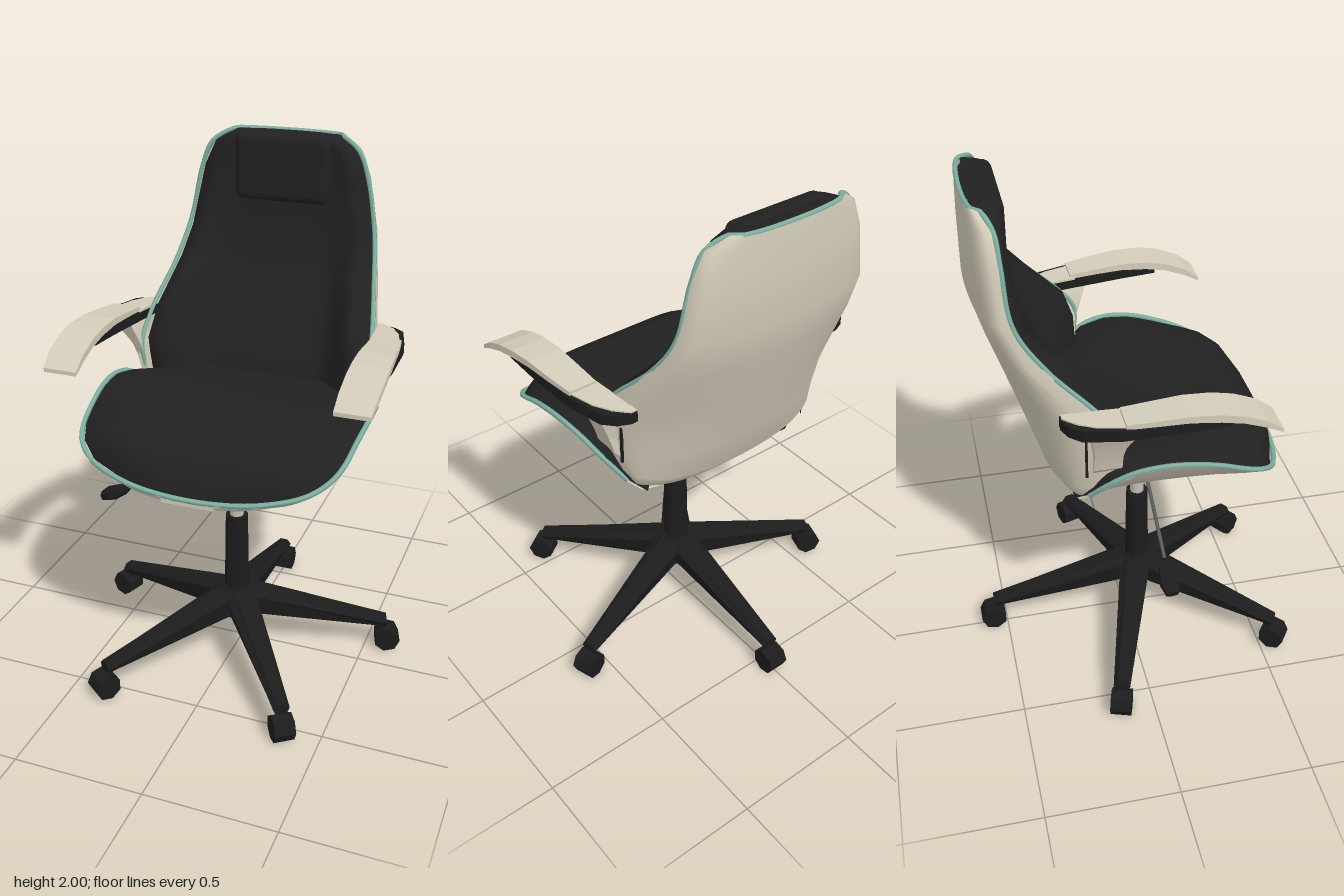
import * as THREE from 'three';
import { RoundedBoxGeometry } from 'three/addons/geometries/RoundedBoxGeometry.js';

const mat = (name, color, flatShading = false) =>
  new THREE.MeshStandardMaterial({ name, color, flatShading, side: THREE.DoubleSide });

// Surface through rows of [x, y, z] points; closed joins the last column to the first.
function loft(rows, closed = false) {
  const n = rows[0].length, index = [];
  for (let i = 0; i < rows.length - 1; i++) {
    for (let j = 0; j < (closed ? n : n - 1); j++) {
      const k = (j + 1) % n, a = i * n + j, b = i * n + k, c = a + n, d = b + n;
      index.push(a, b, d, a, d, c);
    }
  }
  const g = new THREE.BufferGeometry();
  g.setAttribute('position', new THREE.Float32BufferAttribute(rows.flat(2), 3));
  g.setIndex(index);
  g.computeVertexNormals();
  return g;
}

// Closed bar with rectangular sections [z, xInner, xOuter, yBottom, yTop].
function bar(sections) {
  const ring = ([z, xi, xo, yb, yt]) => [[xi, yb, z], [xo, yb, z], [xo, yt, z], [xi, yt, z]];
  const cap = ([z, xi, xo, yb, yt]) => Array(4).fill([(xi + xo) / 2, (yb + yt) / 2, z]);
  return loft([cap(sections[0]), ...sections.map(ring), cap(sections.at(-1))], true);
}

const span = (n, f) => Array.from({ length: n + 1 }, (_, i) => f(-1 + (2 * i) / n));
const smooth = THREE.MathUtils.smoothstep;

function rim(points, radius) {
  const path = new THREE.CatmullRomCurve3(points.map((p) => new THREE.Vector3(...p)));
  return new THREE.TubeGeometry(path, 120, radius, 5);
}

export function createModel() {
  const group = new THREE.Group();
  const cream = mat('cream shell', 0xd3ccb9);
  const creamFlat = mat('cream trim', 0xd3ccb9, true);
  const teal = mat('teal edging', 0x80b5a5);
  const black = mat('black upholstery', 0x212122);
  const plastic = mat('black plastic', 0x1c1c1d, true);
  const steel = mat('steel', 0xc4bfb4);
  const grey = mat('grey rod', 0x5c5c5a);

  const add = (name, geometry, material, parent = group) => {
    const mesh = new THREE.Mesh(geometry, material);
    mesh.name = name;
    parent.add(mesh);
    return mesh;
  };
  const cylinder = (name, rTop, rBottom, y0, y1, material, sides = 12) =>
    add(name, new THREE.CylinderGeometry(rTop, rBottom, y1 - y0, sides), material).position.set(0, (y0 + y1) / 2, 0.06);

  // Seat pan: z, half width, rim height, bottom height, cushion height
  const seat = [
    [0.55, 0.1, 0.922, 0.9, 0.9], [0.53, 0.26, 0.937, 0.898, 1.0], [0.48, 0.41, 0.972, 0.896, 1.06],
    [0.42, 0.48, 1.012, 0.895, 1.085], [0.35, 0.508, 1.045, 0.893, 1.095], [0.25, 0.52, 1.085, 0.891, 1.1],
    [0.15, 0.528, 1.112, 0.889, 1.112], [0.05, 0.528, 1.12, 0.887, 1.118], [-0.05, 0.515, 1.1, 0.885, 1.112],
    [-0.13, 0.485, 1.045, 0.883, 1.105], [-0.2, 0.43, 0.96, 0.881, 1.1], [-0.24, 0.38, 0.915, 0.88, 1.1],
  ];
  add('seatShell', loft(seat.map(([z, w, yr, yb]) => span(20, (t) => {
    const u = Math.sin(t * Math.PI / 2);
    return [w * u, yb + (yr - yb) * Math.abs(u) ** 3.8, z];
  }))), cream);
  // Upright lip closing the front of the pan
  add('seatFrontLip', loft([0.9, 0.917].map((y) => span(4, (t) => [0.1 * t, y, 0.55]))), cream);
  add('seatCushion', loft(seat.map(([z, w, yr, , top]) => span(20, (t) => {
    const u = Math.sin(t * Math.PI / 2);
    const dip = 0.02 * (1 - u * u) * smooth(0.5 - z, 0, 0.3);
    return [0.97 * w * u, yr + (top - yr + 0.015) * (1 - u ** 8) - dip, z - 0.018];
  }))), black);
  // Edging sits just inside the pan rim
  const seatEdge = (side) => seat.slice(0, -1).map(([z, w, yr]) => [side * (w - 0.009), yr + 0.001, z - 0.009]);
  add('seatEdging', rim([...seatEdge(1).reverse(), ...seatEdge(-1)], 0.01), teal);

  // Backrest shell: y, half width, wing edge z, spine z, lift of the lower corners
  const back = [
    [0.88, 0.37, -0.23, -0.24, 0.04], [0.9, 0.405, -0.21, -0.29, 0.05], [0.95, 0.43, -0.18, -0.335, 0.05],
    [1.1, 0.455, -0.115, -0.385, 0], [1.22, 0.465, -0.105, -0.425, 0], [1.33, 0.455, -0.185, -0.46, 0],
    [1.5, 0.412, -0.35, -0.515, 0], [1.65, 0.382, -0.443, -0.558, 0], [1.85, 0.342, -0.465, -0.558, 0],
    [1.95, 0.3, -0.475, -0.556, 0], [1.995, 0.225, -0.51, -0.553, 0],
  ];
  const shellRows = back.map(([y, w, zf, zc, lift]) => span(20, (t) => {
    const a = t * Math.PI / 2;
    return [w * Math.sin(a), y + lift * Math.abs(Math.sin(a)) ** 3, zf + (zc - zf) * Math.max(0, Math.cos(a)) ** 0.7];
  }));
  add('backShell', loft(shellRows), cream);
  const edge = shellRows.slice(3, -1);
  const inset = ([x, y, z]) => [x * 0.985, y - 0.004, z + 0.006];
  add('backEdging', rim([
    ...edge.map((r) => r[0]), ...shellRows.at(-1).filter((_, i) => i % 2 === 0), ...edge.map((r) => r[20]).reverse(),
  ].map(inset), 0.009), teal);

  // Backrest cushion: y, half width, bolster z, centre z, side edge z
  const pad = [
    [1.0, 0.41, -0.14, -0.2, -0.18], [1.1, 0.44, -0.11, -0.225, -0.14], [1.22, 0.45, -0.115, -0.27, -0.14],
    [1.34, 0.435, -0.155, -0.32, -0.21], [1.5, 0.395, -0.305, -0.385, -0.365], [1.61, 0.375, -0.4, -0.42, -0.44],
    [1.85, 0.33, -0.43, -0.445, -0.472], [1.95, 0.285, -0.435, -0.45, -0.482],
    [1.99, 0.21, -0.45, -0.455, -0.51], [1.992, 0.2, -0.52, -0.54, -0.52],
  ];
  add('backCushion', loft(pad.map(([y, w, zb, zc, ze]) => span(28, (t) => {
    const u = Math.abs(t);
    return [w * t, y, zc + (zb - zc) * smooth(u, 0.5, 0.88) + (ze - zb) * smooth(u, 0.88, 1)];
  }))), black);
  add('headrest', new RoundedBoxGeometry(0.385, 0.265, 0.09, 3, 0.035), black).position.set(0, 1.864, -0.462);

  // Armrests, built on the left and mirrored
  const bracket = new THREE.Shape();
  bracket.moveTo(0.43, 1.06);
  bracket.lineTo(0.465, 1.1);
  bracket.quadraticCurveTo(0.49, 1.2, 0.54, 1.295);
  bracket.lineTo(0.48, 1.295);
  bracket.quadraticCurveTo(0.45, 1.22, 0.43, 1.06);
  for (const side of [1, -1]) {
    const arm = new THREE.Group();
    arm.name = side > 0 ? 'leftArmrest' : 'rightArmrest';
    arm.scale.x = side;
    group.add(arm);
    // Bracket widens forwards and backwards towards the arm
    const stem = new THREE.ExtrudeGeometry(bracket, { depth: 1, bevelEnabled: false, curveSegments: 6 });
    const p = stem.attributes.position;
    for (let i = 0; i < p.count; i++) {
      const flare = smooth(p.getY(i), 1.18, 1.3);
      p.setZ(i, p.getZ(i) > 0.5 ? -0.1 + 0.05 * flare : -0.2 - 0.02 * flare);
    }
    stem.computeVertexNormals();
    add('armBracket', stem, cream, arm);
    const slot = add('shellSlot', new THREE.BoxGeometry(0.008, 0.15, 0.009), plastic, arm);
    slot.position.set(0.449, 1.14, -0.222);
    slot.rotation.y = 0.25;
    add('armSupport', bar([
      [-0.31, 0.44, 0.465, 1.29, 1.33], [-0.29, 0.44, 0.51, 1.29, 1.331], [-0.25, 0.45, 0.55, 1.292, 1.335],
      [-0.12, 0.46, 0.584, 1.3, 1.34], [0.1, 0.48, 0.595, 1.31, 1.342], [0.24, 0.485, 0.595, 1.318, 1.345],
    ]), plastic, arm);
    add('armInlay', bar([
      [-0.305, 0.44, 0.462, 1.326, 1.336], [-0.26, 0.445, 0.51, 1.33, 1.34], [-0.2, 0.45, 0.545, 1.332, 1.342],
      [-0.09, 0.46, 0.574, 1.338, 1.346],
    ]), creamFlat, arm);
    add('armPad', bar([
      [-0.11, 0.468, 0.575, 1.338, 1.356], [0.0, 0.47, 0.592, 1.347, 1.368], [0.1, 0.472, 0.602, 1.352, 1.378],
      [0.2, 0.473, 0.61, 1.345, 1.374], [0.28, 0.474, 0.612, 1.33, 1.358], [0.36, 0.474, 0.61, 1.3, 1.326],
      [0.42, 0.474, 0.603, 1.268, 1.283],
    ]), creamFlat, arm);
  }

  // Tilt mechanism under the seat
  const block = (name, w, h, d, y, z) =>
    add(name, new THREE.BoxGeometry(w, h, d), plastic).position.set(0, y, z);
  block('mountPlate', 0.23, 0.025, 0.54, 0.875, 0.03);
  block('tiltHousing', 0.18, 0.045, 0.4, 0.845, 0.03);
  add('tensionKnob', new THREE.CylinderGeometry(0.085, 0.05, 0.07, 8), plastic).position.set(0, 0.81, 0.17);

  // Gas column
  cylinder('columnCollar', 0.045, 0.032, 0.69, 0.84, plastic);
  cylinder('columnRod', 0.028, 0.028, 0.58, 0.7, steel);
  cylinder('columnSleeve', 0.044, 0.05, 0.26, 0.61, plastic);
  cylinder('hub', 0.06, 0.08, 0.17, 0.29, plastic, 10);

  // Height lever
  const lever = new THREE.Group();
  lever.name = 'heightLever';
  lever.position.set(-0.1, 0.83, 0.06);
  lever.rotation.z = Math.atan2(-0.25, -0.48);
  group.add(lever);
  const rod = add('leverRod', new THREE.CylinderGeometry(0.007, 0.007, 0.42, 6), grey, lever);
  rod.rotation.z = Math.PI / 2;
  rod.position.x = 0.21;
  add('leverPaddle', loft([[0.4, 0.005], [0.44, 0.024], [0.5, 0.032], [0.545, 0.02], [0.546, 0]].map(([x, r]) =>
    Array.from({ length: 6 }, (_, i) => [x, r * Math.cos(i * Math.PI / 3), 1.3 * r * Math.sin(i * Math.PI / 3)])),
  true), plastic, lever);

  // Five-star base with casters
  for (let i = 0; i < 5; i++) {
    const spoke = new THREE.Group();
    spoke.name = 'baseSpoke' + (i + 1);
    spoke.position.z = 0.06;
    spoke.rotation.y = Math.PI + i * Math.PI * 2 / 5;
    group.add(spoke);
    add('leg', loft([[0, 0, 0.25, 0.25], [0, 0.065, 0.18, 0.3], [0.61, 0.032, 0.108, 0.148], [0.61, 0, 0.13, 0.13]]
      .map(([z, w, yb, yt]) => [[-0.7 * w, yb, z], [0.7 * w, yb, z], [w, yt - 0.02 * Math.sign(w), z],
        [0.5 * w, yt, z], [-0.5 * w, yt, z], [-w, yt - 0.02 * Math.sign(w), z]]), true), plastic, spoke);
    add('casterStem', new THREE.CylinderGeometry(0.014, 0.014, 0.06, 6), plastic, spoke).position.set(0, 0.1, 0.59);
    const wheel = add('caster', new THREE.CylinderGeometry(0.052, 0.052, 0.08, 7), plastic, spoke);
    wheel.rotation.z = Math.PI / 2;
    wheel.position.set(0, 0.05, 0.615);
  }
  return group;
}
